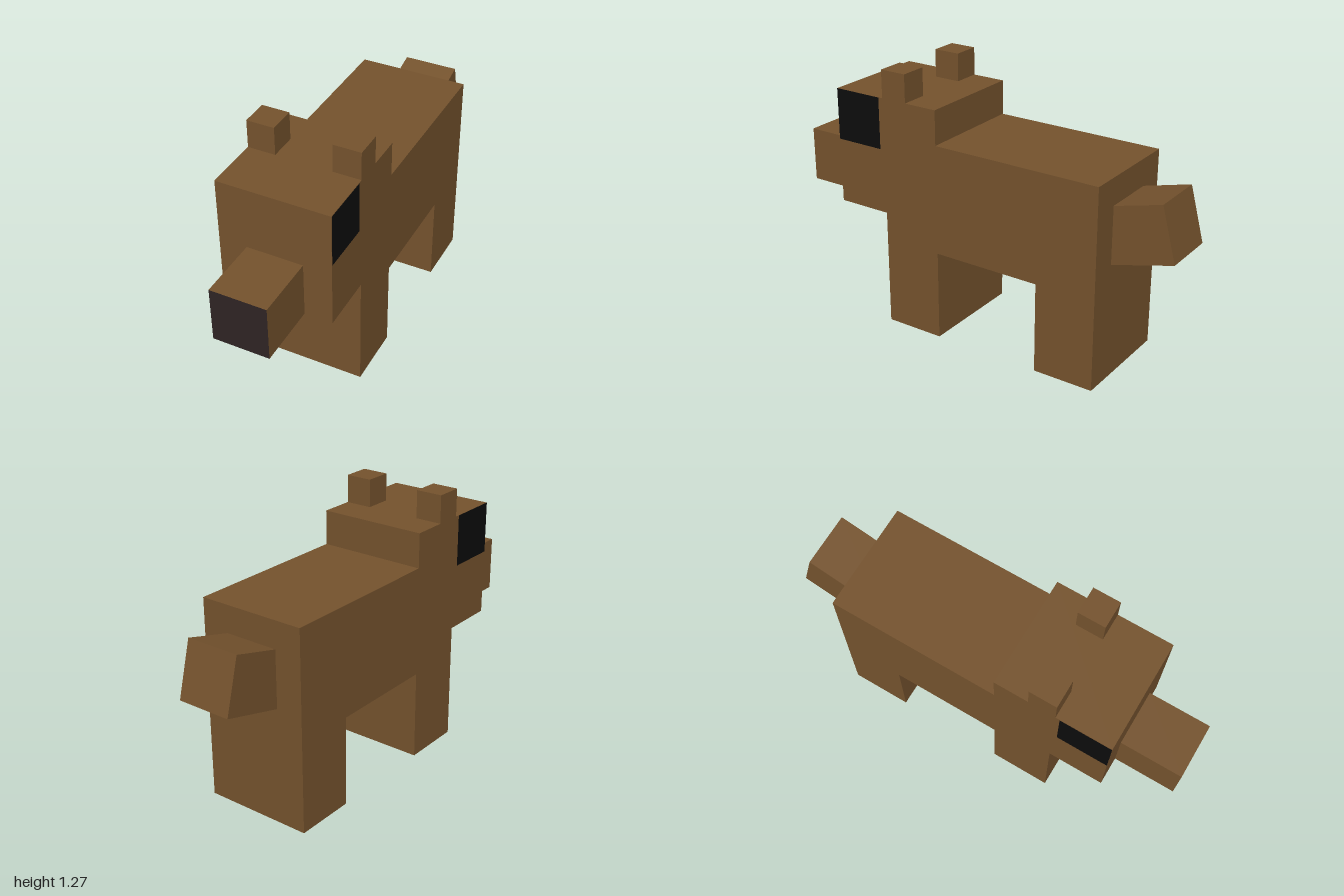
import * as THREE from 'three';

function material(name, color) {
  const m = new THREE.MeshStandardMaterial({ color });
  m.name = name;
  return m;
}

export function createModel() {
  const fur = material('brown fur', 0x74522d);
  const black = material('black eye', 0x0c0c0c);
  const nose = material('dark nose', 0x2e2323);
  const under = material('grey underside', 0x97948d);
  const model = new THREE.Group();
  model.name = 'blockAnimal';
  const half = 0.267;

  const add = (name, geometry, mat, x, y, z) => {
    const mesh = new THREE.Mesh(geometry, mat);
    mesh.name = name;
    mesh.position.set(x, y, z);
    model.add(mesh);
    return mesh;
  };

  // Head, torso and legs share one side profile (z, y), extruded across x
  const profile = new THREE.Shape([
    [0.43, 0], [0.43, 0.573], [0.7, 0.573], [0.7, 1.14], [0.133, 1.14], [0.133, 0.973],
    [-0.703, 0.973], [-0.703, 0], [-0.405, 0], [-0.405, 0.44], [0.133, 0.44], [0.133, 0],
  ].map(([z, y]) => new THREE.Vector2(z, y)));
  const body = new THREE.ExtrudeGeometry(profile, { depth: half * 2, bevelEnabled: false });
  body.translate(0, 0, -half).rotateY(-Math.PI / 2);
  add('body', body, fur, 0, 0, 0);

  // Grey faces under the belly and the chin
  const underside = (name, z0, z1, y) => {
    const plate = new THREE.PlaneGeometry(half * 2, z1 - z0).rotateX(Math.PI / 2);
    add(name, plate, under, 0, y - 0.002, (z0 + z1) / 2);
  };
  underside('belly', -0.405, 0.133, 0.44);
  underside('chin', 0.43, 0.7, 0.573);

  // Muzzle with a dark front face
  add('muzzle', new THREE.BoxGeometry(0.267, 0.267, 0.3),
    [fur, fur, fur, fur, nose, fur], 0, 0.7065, 0.85);

  // Ears and eye patches on both sides
  for (const side of [1, -1]) {
    add(side > 0 ? 'leftEar' : 'rightEar',
      new THREE.BoxGeometry(0.132, 0.135, 0.132), fur, side * 0.201, 1.2075, 0.365);
    const eye = new THREE.PlaneGeometry(0.248, 0.25).rotateY(side * Math.PI / 2);
    add(side > 0 ? 'leftEye' : 'rightEye', eye, black, side * (half + 0.002), 1.015, 0.576);
  }

  // Tail tilted upward, rooted inside the rump
  const tail = add('tail', new THREE.BoxGeometry(0.267, 0.267, 0.4), fur, 0, 0.722, -0.772);
  tail.rotation.x = Math.PI / 12;

  return model;
}
